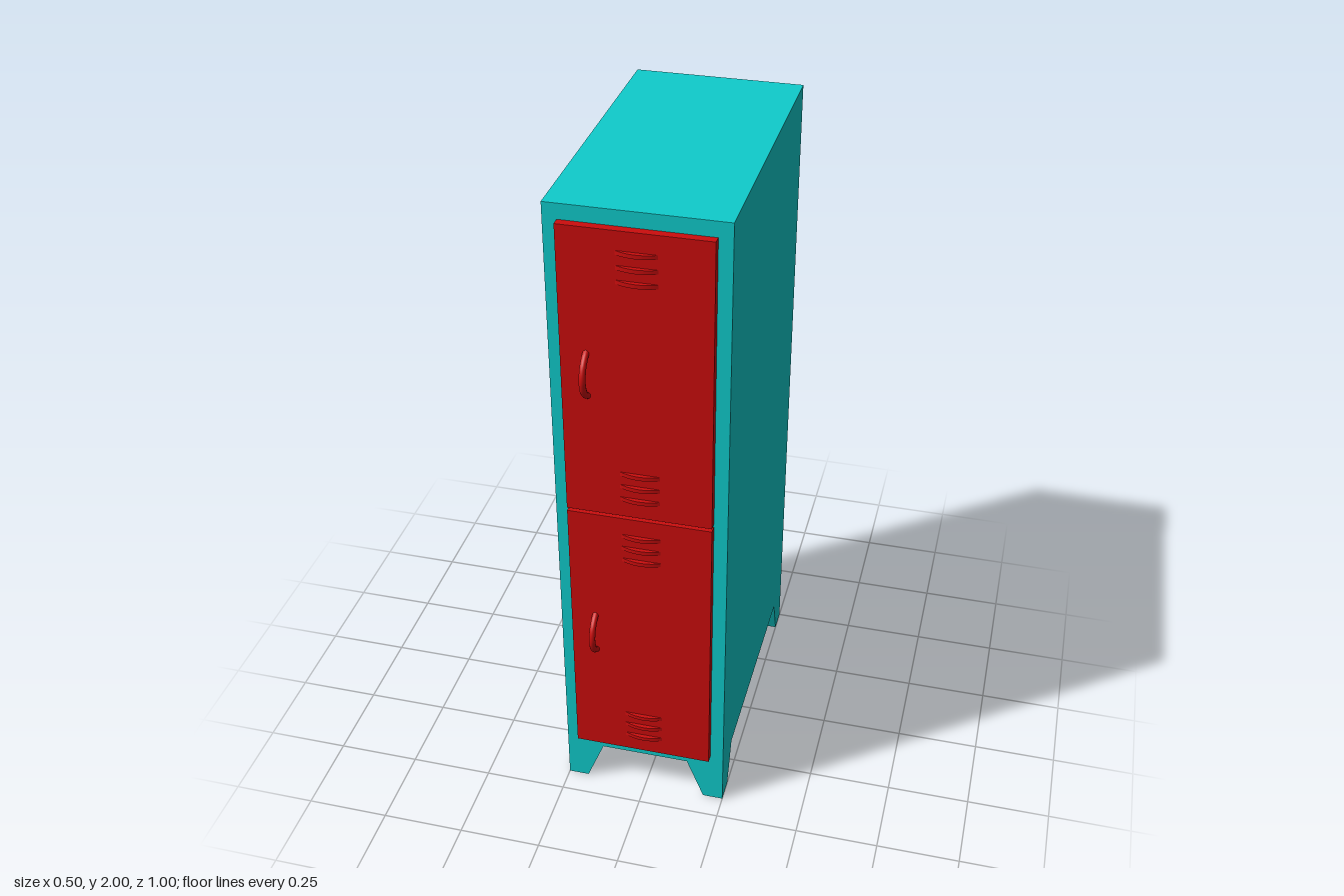
import * as THREE from 'three';

const teal = new THREE.MeshStandardMaterial({ color: 0x0fcccc });
const red = new THREE.MeshStandardMaterial({ color: 0xcc0d0d });

const X = 0.25, BACK = -0.5, FRONT = 0.425, FLOOR = 0.135, TOP = 2;

function add(parent, name, geometry, material, x = 0, y = 0, z = 0) {
  const mesh = new THREE.Mesh(geometry, material);
  mesh.name = name;
  mesh.position.set(x, y, z);
  parent.add(mesh);
  return mesh;
}

// Leg flush with the outer corner, tapering on its two inner sides
function legGeometry(sx, sz) {
  const g = new THREE.BoxGeometry(1, FLOOR, 1);
  const p = g.attributes.position;
  for (let i = 0; i < p.count; i++) {
    const top = p.getY(i) > 0;
    const inX = p.getX(i) * sx < 0, inZ = p.getZ(i) * sz < 0;
    p.setX(i, inX ? -sx * (top ? 0.115 : 0.062) : 0);
    p.setZ(i, inZ ? -sz * (top ? 0.122 : 0.072) : 0);
  }
  g.computeVertexNormals();
  return g;
}

// Thin louvre: a shallow circle segment, flat above and below
function louvreGeometry() {
  const half = 0.057, rise = 0.0125, thick = 0.012;
  const r = (half * half + rise * rise) / (2 * rise);
  const a = Math.asin(half / r);
  const shape = new THREE.Shape();
  shape.absarc(0, r - rise, r, -Math.PI / 2 - a, -Math.PI / 2 + a, false);
  shape.closePath();
  const g = new THREE.ExtrudeGeometry(shape, { depth: thick, bevelEnabled: false, curveSegments: 16 });
  g.translate(0, 0, -thick / 2);
  g.rotateX(-Math.PI / 2);
  return g;
}

// Bowed pull handle with its ends sunk into the door
function handleGeometry() {
  const curve = new THREE.CatmullRomCurve3([
    [0.069, -0.008], [0.06, 0.008], [0.036, 0.031], [0, 0.041],
    [-0.036, 0.031], [-0.06, 0.008], [-0.069, -0.008],
  ].map(([y, z]) => new THREE.Vector3(0, y, z)));
  return new THREE.TubeGeometry(curve, 28, 0.0095, 12);
}

export function createModel() {
  const locker = new THREE.Group();
  locker.name = 'locker';

  // Cabinet body
  add(locker, 'cabinet', new THREE.BoxGeometry(2 * X, TOP - FLOOR, FRONT - BACK), teal,
    0, (TOP + FLOOR) / 2, (FRONT + BACK) / 2);

  // Four corner legs
  for (const sx of [-1, 1]) for (const sz of [-1, 1]) {
    const name = (sz > 0 ? 'front' : 'back') + (sx > 0 ? 'Left' : 'Right') + 'Leg';
    add(locker, name, legGeometry(sx, sz), teal, sx * X, FLOOR / 2, sz > 0 ? FRONT : BACK);
  }

  // Two identical doors, each with louvres and a handle
  const louvre = louvreGeometry(), handle = handleGeometry();
  [['lowerDoor', 0.6175], ['upperDoor', 1.5125]].forEach(([name, y]) => {
    const door = new THREE.Group();
    door.name = name;
    door.position.set(0, y, FRONT);
    add(door, 'doorPanel', new THREE.BoxGeometry(0.42, 0.885, 0.025), red, 0, 0, 0.0125);
    add(door, 'handle', handle, red, -0.1375, 0.0075, 0.025);
    for (const cy of [0.339, -0.341]) for (const dy of [-0.042, 0, 0.042])
      add(door, 'louvre', louvre, red, 0.005, cy + dy, 0.025);
    locker.add(door);
  });

  return locker;
}
